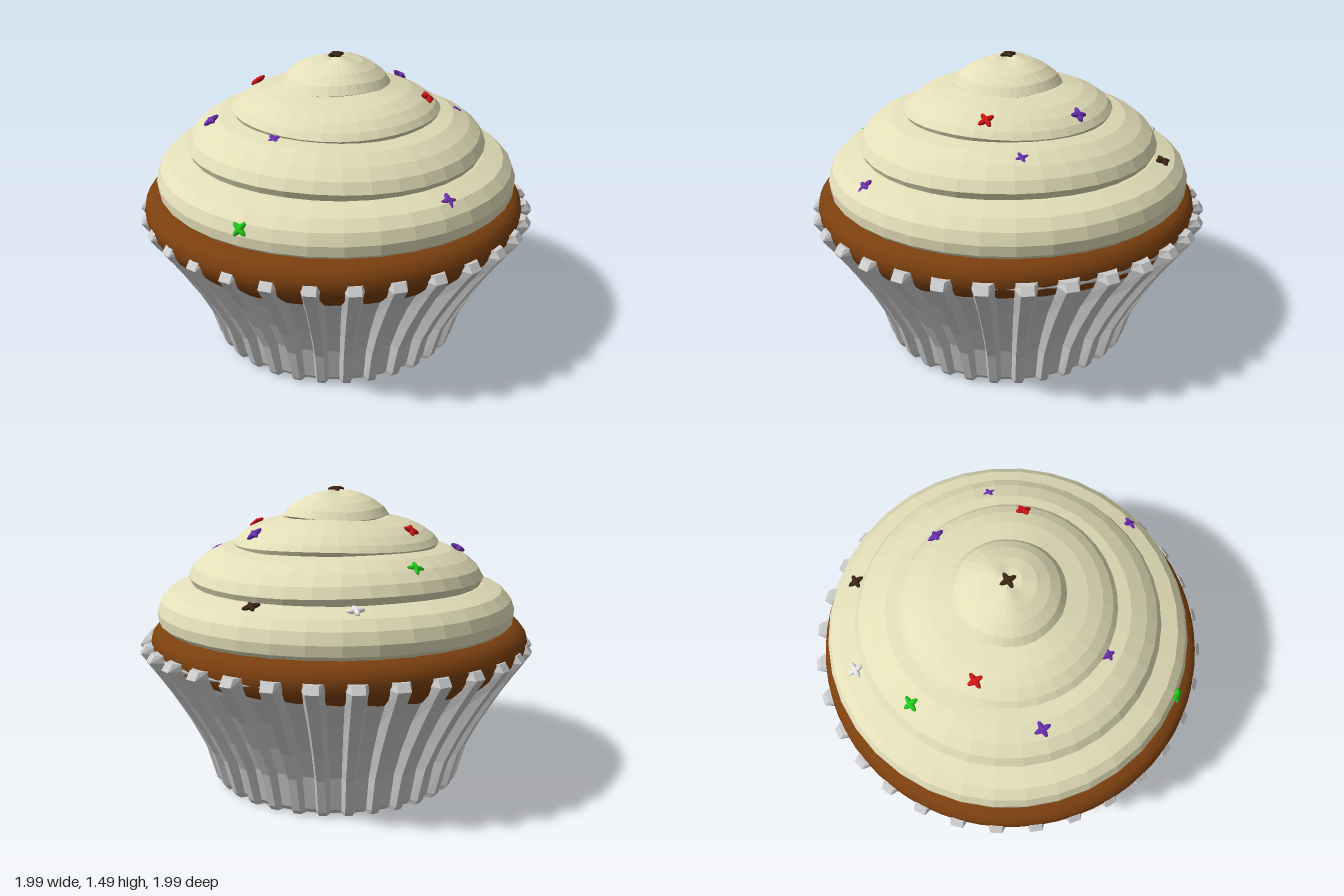
import * as THREE from 'three';
import { mergeGeometries } from 'three/addons/utils/BufferGeometryUtils.js';

const mat = (name, color, flatShading = false) => {
  const m = new THREE.MeshStandardMaterial({ color, flatShading });
  m.name = name;
  return m;
};
const vec2 = (list) => list.map(([x, y]) => new THREE.Vector2(x, y));

function addMesh(parent, name, geometry, material) {
  const mesh = new THREE.Mesh(geometry, material);
  mesh.name = name;
  parent.add(mesh);
  return mesh;
}

// Pleated cup: each row is [outer radius, valley radius, height]
function wrapperGeometry() {
  const rows = [
    [0.62, 0.585, 0], [0.64, 0.605, 0.025], [0.69, 0.645, 0.2], [0.765, 0.715, 0.35],
    [0.855, 0.80, 0.5], [0.935, 0.885, 0.62], [0.995, 0.935, 0.705], [0.97, 0.93, 0.74], [0.86, 0.86, 0.735],
  ];
  const pleats = 32, pitch = (Math.PI * 2) / pleats, n = pleats * 4;
  const steps = [[-0.15, 0], [0.15, 0], [0.28, 1], [0.72, 1]];
  const pos = [], index = [];
  for (const row of rows) {
    for (let p = 0; p < pleats; p++) {
      for (const [t, k] of steps) {
        const a = (p + t) * pitch;
        pos.push(row[k] * Math.sin(a), row[2], row[k] * Math.cos(a));
      }
    }
  }
  for (let j = 0; j < rows.length - 1; j++) {
    for (let i = 0; i < n; i++) {
      const a = j * n + i, b = j * n + (i + 1) % n;
      index.push(a, b, b + n, a, b + n, a + n);
    }
  }
  // Flat base
  const centre = pos.length / 3;
  pos.push(0, 0, 0);
  for (let i = 0; i < n; i++) index.push(centre, (i + 1) % n, i);
  const g = new THREE.BufferGeometry();
  g.setAttribute('position', new THREE.Float32BufferAttribute(pos, 3));
  g.setIndex(index);
  const flat = g.toNonIndexed();
  flat.computeVertexNormals();
  return flat;
}

// Faceted ring of frosting with a gently wavy height
function frostingGeometry(profile, phase, wave) {
  const g = new THREE.LatheGeometry(vec2(profile), 36);
  const p = g.attributes.position;
  for (let i = 0; i < p.count; i++) {
    const a = Math.atan2(p.getX(i), p.getZ(i));
    p.setY(i, p.getY(i) + wave * Math.sin(3 * a + phase));
  }
  const flat = g.toNonIndexed();
  flat.computeVertexNormals();
  return flat;
}

// Four-armed sprinkle lying in the xz plane
function sprinkleGeometry() {
  const arm = (turn) => new THREE.SphereGeometry(1, 12, 8).scale(0.043, 0.014, 0.014).rotateY(turn);
  return mergeGeometries([arm(Math.PI / 4), arm(-Math.PI / 4)]);
}

export function createModel() {
  const model = new THREE.Group();
  model.name = 'cupcake';
  const paper = mat('paper grey', 0xcdcdcd, true);
  const sponge = mat('sponge brown', 0x7c400f);
  const cream = mat('frosting cream', 0xe2deb8, true);
  const colours = {
    purple: mat('sprinkle purple', 0x6a2fb0),
    red: mat('sprinkle red', 0xd01414),
    green: mat('sprinkle green', 0x1fc81a),
    white: mat('sprinkle white', 0xe6e6e6),
    brown: mat('sprinkle brown', 0x3c2618),
  };

  addMesh(model, 'paperWrapper', wrapperGeometry(), paper);

  // Sponge bulging over the wrapper, baked slightly off centre
  const spongeProfile = vec2([[0.8, 0.56], [0.85, 0.585], [0.89, 0.62], [0.925, 0.655], [0.945, 0.69],
    [0.955, 0.73], [0.947, 0.77], [0.92, 0.805], [0.87, 0.825], [0.7, 0.83]]);
  const cake = addMesh(model, 'sponge', new THREE.LatheGeometry(spongeProfile, 64), sponge);
  cake.position.set(-0.01, 0, 0.015);

  // Frosting layers, bottom to top
  const layers = [
    [[0.8, 0.81], [0.87, 0.815], [0.895, 0.84], [0.9, 0.89], [0.88, 0.945], [0.835, 0.99], [0.74, 1.02], [0.6, 1.04]],
    [[0.66, 1.01], [0.725, 1.02], [0.742, 1.055], [0.715, 1.105], [0.66, 1.15], [0.58, 1.19], [0.48, 1.21], [0.36, 1.22]],
    [[0.44, 1.19], [0.505, 1.2], [0.515, 1.22], [0.49, 1.25], [0.44, 1.285], [0.37, 1.315], [0.27, 1.34], [0.16, 1.35]],
    [[0.23, 1.33], [0.268, 1.345], [0.24, 1.385], [0.19, 1.422], [0.13, 1.45], [0.065, 1.466], [0, 1.471]],
  ];
  const frosting = new THREE.Group();
  frosting.name = 'frosting';
  model.add(frosting);
  layers.forEach((profile, i) =>
    addMesh(frosting, `frostingLayer${i + 1}`, frostingGeometry(profile, i * 1.9, i ? 0.006 : 0), cream));

  // Sprinkles: colour, x, y, z, tilt away from vertical
  const sprinkles = [
    ['brown', 0, 1.475, 0, 0],
    ['purple', 0.22, 1.28, -0.41, 0.65], ['purple', 0.56, 1.17, -0.24, 0.5],
    ['purple', 0.67, 0.99, 0.47, 0.7], ['purple', -0.13, 1.2, 0.51, 0.4],
    ['purple', -0.54, 1.18, 0.3, 0.5], ['red', 0.45, 1.29, -0.04, 0.65],
    ['red', -0.43, 1.295, -0.04, 0.65], ['green', -0.15, 0.925, 0.885, 1.2],
    ['green', -0.57, 1.16, -0.31, 0.6], ['white', -0.44, 1.015, -0.64, 0.3],
    ['brown', 0, 1.015, -0.78, 0.3],
  ];
  const star = sprinkleGeometry();
  const up = new THREE.Vector3(0, 1, 0);
  const group = new THREE.Group();
  group.name = 'sprinkles';
  model.add(group);
  for (const [colour, x, y, z, tilt] of sprinkles) {
    const mesh = addMesh(group, `${colour}Sprinkle`, star, colours[colour]);
    const r = Math.hypot(x, z) || 1;
    const normal = new THREE.Vector3((x / r) * Math.sin(tilt), Math.cos(tilt), (z / r) * Math.sin(tilt));
    mesh.position.set(x, y, z);
    mesh.quaternion.setFromUnitVectors(up, normal);
  }
  return model;
}
